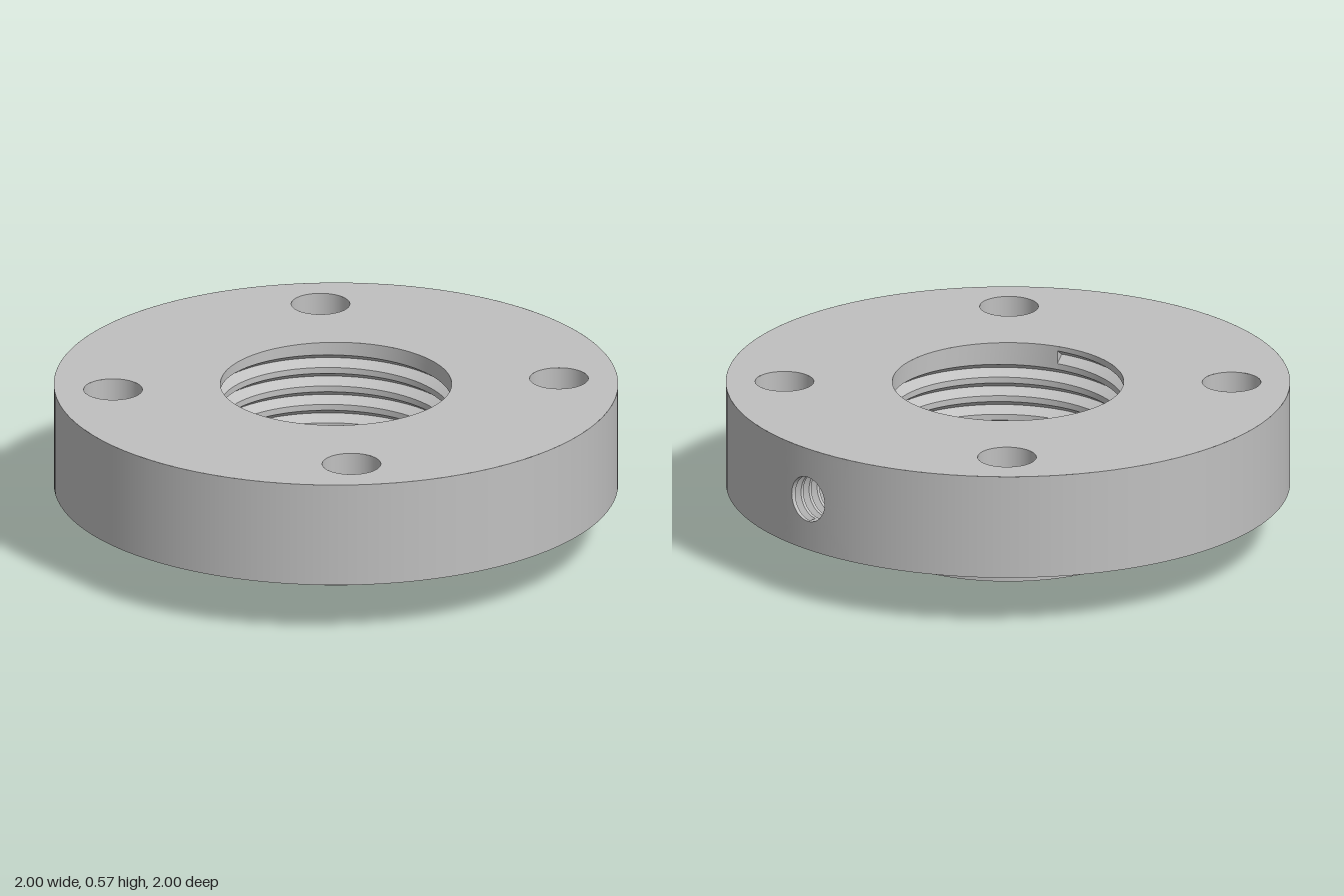
import * as THREE from 'three';
import { mergeGeometries } from 'three/addons/utils/BufferGeometryUtils.js';

const TOP = 0.575, STEP = 0.195, MID = (TOP + STEP) / 2;
const HUB_R = 0.495, BORE_R = 0.41, BOLT_R = 0.104, BOLT_POS = 0.56;
const SCREW_R = 0.083, SCREW_END = 0.6;

// Smooth grid surface; fn(u, v) returns a point, u and v run 0..1
function grid(nu, nv, fn) {
  const pos = [], idx = [];
  for (let i = 0; i <= nu; i++)
    for (let j = 0; j <= nv; j++) pos.push(...fn(i / nu, j / nv));
  for (let i = 0; i < nu; i++)
    for (let j = 0; j < nv; j++) {
      const a = i * (nv + 1) + j, c = a + nv + 1;
      idx.push(a, a + 1, c, c, a + 1, c + 1);
    }
  const g = new THREE.BufferGeometry();
  g.setAttribute('position', new THREE.Float32BufferAttribute(pos, 3));
  g.setIndex(idx);
  g.computeVertexNormals();
  return g;
}

// Inside wall of a hole along y with a helical V groove cut into it
function threadedWall({ r, depth, pitch, turns, start, width, bottom, end, segments }) {
  const rows = [{ r, y: () => bottom }];
  for (let k = 0; k < turns; k++)
    for (const f of [0, 0.5, 1])
      rows.push({ r: f === 0.5 ? r + depth : r, y: u => start + (k + u) * pitch + f * width });
  rows.push({ r, y: u => end(-r * Math.sin(u * Math.PI * 2)) });
  const point = (row, u) => {
    const a = u * Math.PI * 2;
    return [row.r * Math.cos(a), row.y(u), -row.r * Math.sin(a)];
  };
  const parts = [];
  for (let k = 0; k < rows.length - 1; k++)
    parts.push(grid(segments, 1, (u, v) => point(rows[k + v], u)));
  // Close the two ends of the groove
  const last = rows.length - 4;
  parts.push(grid(1, 1, (u, v) => point(rows[1 + (u ? 2 : v)], 0)));
  parts.push(grid(1, 1, (u, v) => point(rows[last + (u ? 2 : v)], 1)));
  return mergeGeometries(parts);
}

// Flat disc with a centre hole and the four bolt holes
function plate(innerR) {
  const s = new THREE.Shape().absarc(0, 0, 1, 0, Math.PI * 2);
  s.holes.push(new THREE.Path().absarc(0, 0, innerR, 0, Math.PI * 2, true));
  for (const x of [-BOLT_POS, BOLT_POS])
    for (const y of [-BOLT_POS, BOLT_POS])
      s.holes.push(new THREE.Path().absarc(x, y, BOLT_R, 0, Math.PI * 2, true));
  return new THREE.ShapeGeometry(s, 48);
}

export function createModel() {
  const group = new THREE.Group();
  const steel = new THREE.MeshStandardMaterial({ color: 0xc0c0c0, side: THREE.DoubleSide });
  steel.name = 'greySteel';
  const add = (name, geometry, x = 0, y = 0, z = 0) => {
    const m = new THREE.Mesh(geometry, steel);
    m.name = name;
    m.position.set(x, y, z);
    group.add(m);
    return m;
  };

  // Flange faces
  add('flangeTop', plate(BORE_R).rotateX(-Math.PI / 2), 0, TOP);
  add('flangeUnderside', plate(HUB_R).rotateX(Math.PI / 2), 0, STEP);

  // Flange rim, with a square patch around the screw hole
  const half = (TOP - STEP) / 2;
  add('flangeRim', new THREE.CylinderGeometry(1, 1, TOP - STEP, 120, 1, true,
    Math.PI / 2 + half, Math.PI * 2 - 2 * half), 0, MID);
  add('rimAroundScrewHole', grid(48, 6, (u, v) => {
    const a = u * Math.PI * 2, c = Math.cos(a), s = Math.sin(a);
    const rad = THREE.MathUtils.lerp(SCREW_R, half / Math.max(Math.abs(c), Math.abs(s)), v);
    return [Math.cos(rad * c), rad * s, -Math.sin(rad * c)];
  }), 0, MID);

  // Hub under the flange
  add('hubWall', new THREE.CylinderGeometry(HUB_R, HUB_R, STEP, 96, 1, true), 0, STEP / 2);
  add('hubEnd', new THREE.RingGeometry(BORE_R, HUB_R, 96).rotateX(Math.PI / 2));

  // Bolt holes
  for (const x of [-BOLT_POS, BOLT_POS])
    for (const z of [-BOLT_POS, BOLT_POS])
      add('boltHole', new THREE.CylinderGeometry(BOLT_R, BOLT_R, TOP - STEP, 48, 1, true), x, MID, z);

  // Threaded centre bore
  add('threadedBore', threadedWall({
    r: BORE_R, depth: 0.036, pitch: 0.07, turns: 7, start: 0.02, width: 0.048,
    bottom: 0, end: () => TOP, segments: 96,
  })).rotation.y = THREE.MathUtils.degToRad(200);

  // Threaded blind screw hole in the left side
  add('screwHole', threadedWall({
    r: SCREW_R, depth: 0.018, pitch: 0.04, turns: 9, start: SCREW_END, width: 0.028,
    bottom: SCREW_END, end: z => Math.sqrt(1 - z * z), segments: 48,
  }), 0, MID).rotation.z = -Math.PI / 2;
  add('screwHoleEnd', new THREE.CircleGeometry(SCREW_R, 48).rotateY(Math.PI / 2), SCREW_END, MID);

  return group;
}
